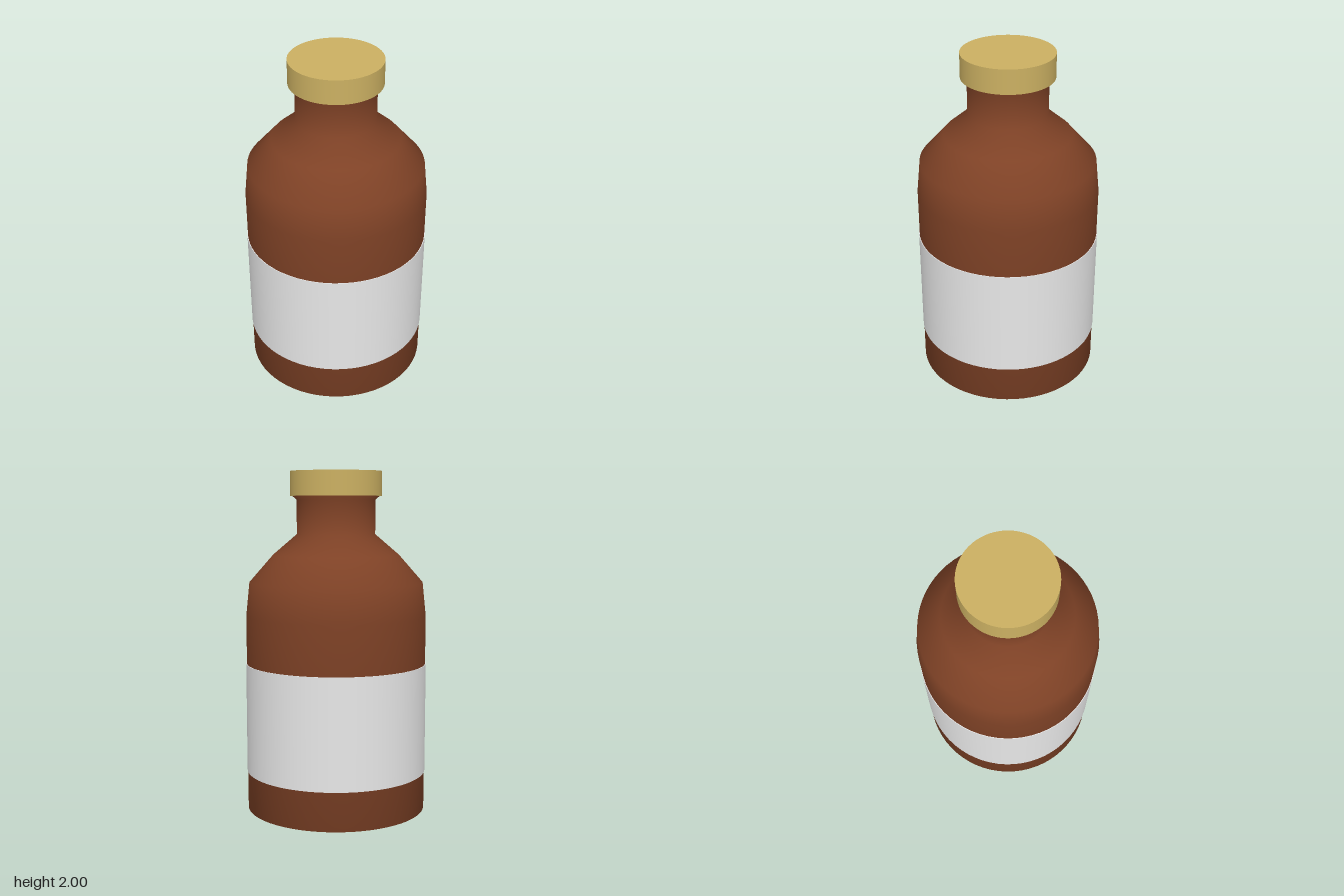
import * as THREE from 'three';
import { mergeVertices } from 'three/addons/utils/BufferGeometryUtils.js';

const SEGMENTS = 64;

// Lathe with shared vertices, so shading flows smoothly over every ring
function smoothLathe(points) {
  const lathe = new THREE.LatheGeometry(points.map(([r, y]) => new THREE.Vector2(r, y)), SEGMENTS);
  lathe.deleteAttribute('normal');
  lathe.deleteAttribute('uv');
  const geometry = mergeVertices(lathe, 1e-4);
  geometry.computeVertexNormals();
  return geometry;
}

function band(radius, bottom, top) {
  const geometry = new THREE.CylinderGeometry(radius, radius, top - bottom, SEGMENTS);
  return geometry.translate(0, (top + bottom) / 2, 0);
}

export function createModel() {
  const amberGlass = new THREE.MeshStandardMaterial({ color: 0x7f4226 });
  amberGlass.name = 'amberGlass';
  const whitePaper = new THREE.MeshStandardMaterial({ color: 0xe8e8e8 });
  whitePaper.name = 'whitePaper';
  const goldMetal = new THREE.MeshStandardMaterial({ color: 0xcbb062 });
  goldMetal.name = 'goldMetal';

  const model = new THREE.Group();
  model.name = 'bottle';
  const add = (name, geometry, material) => {
    const mesh = new THREE.Mesh(geometry, material);
    mesh.name = name;
    model.add(mesh);
  };

  // Flat base, straight wall, sloping shoulder, neck and flared lip
  add('bottleBody', smoothLathe([
    [0, 0], [0.53, 0], [0.53, 1.16], [0.51, 1.355], [0.37, 1.515],
    [0.23, 1.635], [0.23, 1.835], [0.262, 1.862], [0.25, 1.95], [0, 1.95],
  ]), amberGlass);

  // Paper wrapped round the wall
  add('label', band(0.534, 0.228, 0.876), whitePaper);

  // Crimped lid over the lip
  add('cap', band(0.267, 1.857, 2), goldMetal);

  return model;
}
